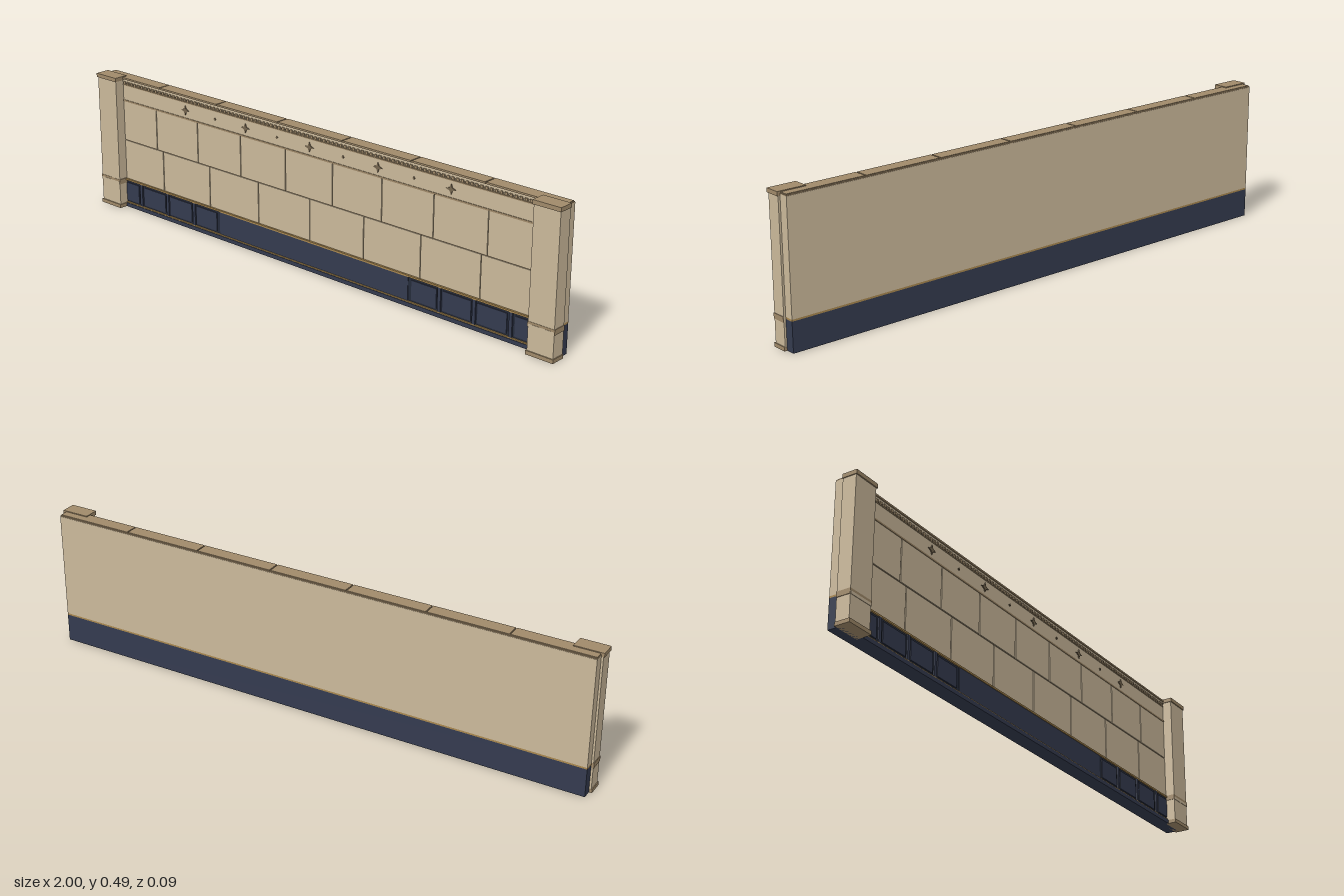
import * as THREE from 'three';

const mat = (name, color) => {
  const m = new THREE.MeshStandardMaterial({ color });
  m.name = name;
  return m;
};

export function createModel() {
  const stone = mat('sandstone', 0xcbb99b);
  const trim = mat('brownStone', 0xa08a6a);
  const navy = mat('navy', 0x343b4f);
  const darkNavy = mat('darkNavy', 0x252b3a);
  const gold = mat('gold', 0xa98850);
  const joint = mat('jointBrown', 0x75664f);

  const model = new THREE.Group();
  model.name = 'boundaryWall';

  // Box given by its limits on each axis
  const box = (parent, name, material, x0, x1, y0, y1, z0, z1) => {
    const mesh = new THREE.Mesh(new THREE.BoxGeometry(x1 - x0, y1 - y0, z1 - z0), material);
    mesh.position.set((x0 + x1) / 2, (y0 + y1) / 2, (z0 + z1) / 2);
    mesh.name = name;
    parent.add(mesh);
    return mesh;
  };
  const group = (name) => {
    const g = new THREE.Group();
    g.name = name;
    model.add(g);
    return g;
  };

  // Base course, gold ledge and wall core
  const base = group('base');
  box(base, 'baseCore', navy, -0.99, 0.99, 0, 0.1, -0.042, 0.004);
  box(base, 'baseLedge', gold, -0.99, 0.99, 0.1, 0.106, -0.042, 0.011);
  box(base, 'baseFoot', navy, -0.9, 0.9, 0, 0.014, 0.004, 0.013);
  box(base, 'footLine', gold, -0.9, 0.9, 0.014, 0.018, 0.004, 0.011);
  box(base, 'basePlainFront', navy, -0.42, 0.42, 0.018, 0.1, 0.004, 0.008);
  box(model, 'wallCore', stone, -0.99, 0.99, 0.106, 0.47, -0.042, 0.002);

  // Raised base panels on both sides, with dark surrounds
  const panels = [[0.435, 0.535], [0.56, 0.67], [0.695, 0.805], [0.835, 0.9]];
  for (const s of [-1, 1]) {
    const span = (name, m, a, b, ...rest) =>
      box(base, name, m, Math.min(s * a, s * b), Math.max(s * a, s * b), ...rest);
    span('panelSurround', darkNavy, 0.42, 0.9, 0.018, 0.1, 0.004, 0.006);
    for (const [a, b] of panels) span('basePanel', navy, a, b, 0.025, 0.092, 0.006, 0.009);
    for (const x of [0.547, 0.682, 0.82]) span('panelDivider', navy, x - 0.006, x + 0.006, 0.018, 0.1, 0.006, 0.011);
  }

  // Two courses of stone blocks over dark joints
  const blocks = group('stoneBlocks');
  box(blocks, 'jointBacking', joint, -0.9, 0.9, 0.106, 0.406, 0.002, 0.004);
  const course = (y0, y1, first, step, count) => {
    const edges = [-0.902];
    for (let i = 0; i < count; i++) edges.push(first + i * step);
    edges.push(0.902);
    for (let i = 0; i < edges.length - 1; i++)
      box(blocks, 'block', stone, edges[i] + 0.002, edges[i + 1] - 0.002, y0, y1, 0.004, 0.007);
  };
  course(0.108, 0.253, -0.7, 0.2335, 7);
  course(0.257, 0.4, -0.73, 0.2075, 8);

  // Frieze with a thin lower line
  const frieze = group('frieze');
  box(frieze, 'friezeBand', stone, -0.9, 0.9, 0.406, 0.462, 0.002, 0.007);
  box(frieze, 'friezeLine', trim, -0.9, 0.9, 0.4, 0.406, 0.002, 0.009);

  // Four-pointed stars alternating with small diamonds
  const ornament = (name, x, rx, ry, inner) => {
    const shape = new THREE.Shape();
    for (let i = 0; i < 8; i++) {
      const a = (i * Math.PI) / 4;
      const odd = i % 2;
      const px = Math.cos(a) * (odd ? inner : rx), py = Math.sin(a) * (odd ? inner : ry);
      i ? shape.lineTo(px, py) : shape.moveTo(px, py);
    }
    const mesh = new THREE.Mesh(new THREE.ExtrudeGeometry(shape, { depth: 0.003, bevelEnabled: false }), joint);
    mesh.position.set(x, 0.433, 0.007);
    mesh.name = name;
    frieze.add(mesh);
  };
  for (let i = -4; i <= 4; i++) {
    if (i % 2) ornament('diamond', i * 0.145, 0.005, 0.005, 0.0035);
    else ornament('star', i * 0.145, 0.019, 0.017, 0.0075);
  }

  // Cornice with a row of small dentils
  const cornice = group('cornice');
  box(cornice, 'corniceBed', stone, -0.99, 0.99, 0.47, 0.482, -0.042, 0.006);
  box(cornice, 'corniceLine', trim, -0.9, 0.9, 0.46, 0.464, 0.002, 0.009);
  for (let i = 0; i < 100; i++) {
    const x = -0.891 + i * 0.018;
    box(cornice, 'dentil', trim, x - 0.005, x + 0.005, 0.465, 0.474, 0.002, 0.009);
  }

  // Coping in seven lengths with narrow joints
  const coping = group('coping');
  box(coping, 'copingBed', trim, -0.99, 0.99, 0.482, 0.485, -0.041, 0.01);
  const length = 1.98 / 7;
  for (let i = 0; i < 7; i++) {
    const x = -0.99 + i * length;
    box(coping, 'copingStone', trim, x + 0.002, x + length - 0.002, 0.485, 0.488, -0.038, 0.01);
  }

  // End pillars with foot, band and cap
  for (const s of [-1, 1]) {
    const pillar = group(s > 0 ? 'leftPillar' : 'rightPillar');
    pillar.position.x = s * 0.95;
    box(pillar, 'shaft', stone, -0.047, 0.047, 0.013, 0.477, -0.01, 0.039);
    box(pillar, 'foot', trim, -0.05, 0.05, 0, 0.013, -0.01, 0.043);
    box(pillar, 'band', trim, -0.049, 0.049, 0.09, 0.108, -0.01, 0.04);
    box(pillar, 'bandFace', stone, -0.047, 0.047, 0.09, 0.1, 0.04, 0.0405);
    box(pillar, 'cap', trim, -0.05, 0.05, 0.477, 0.491, -0.01, 0.043);
  }
  return model;
}
